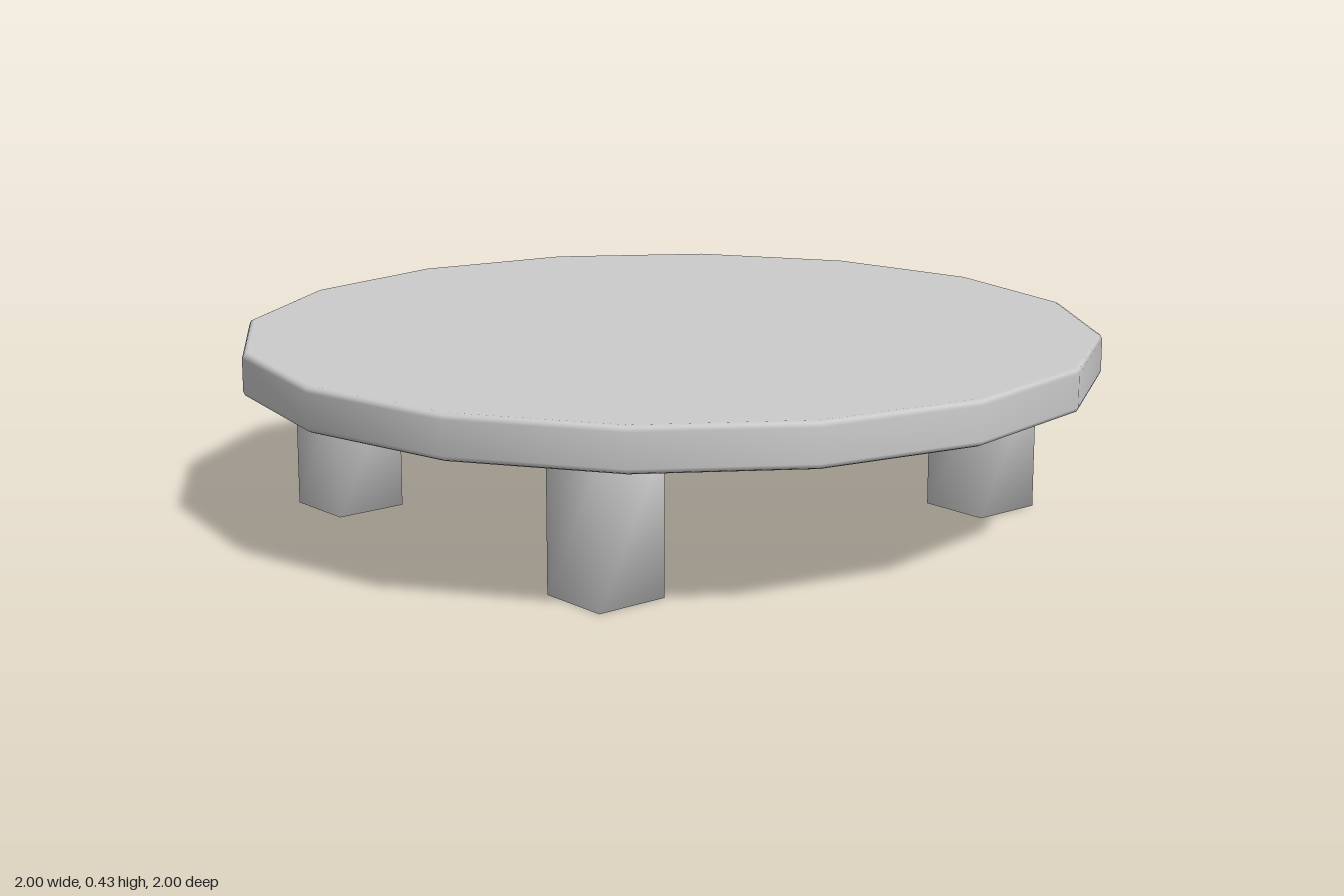
import * as THREE from 'three';
import { mergeVertices } from 'three/addons/utils/BufferGeometryUtils.js';

const material = new THREE.MeshStandardMaterial({ color: 0xcccccc });

// Weld corners so that normals run smoothly over the edges
function smooth(geometry) {
  geometry.deleteAttribute('uv');
  geometry.deleteAttribute('normal');
  const welded = mergeVertices(geometry, 1e-4);
  welded.computeVertexNormals();
  return welded;
}

export function createModel() {
  const group = new THREE.Group();
  const bottom = 0.327, top = 0.428, bevel = 0.013;

  // Sixteen-sided table top with a small bevel on both rims
  const profile = [
    [0, bottom], [1 - bevel, bottom], [0.996, bottom + 0.004], [1, bottom + bevel],
    [1, top - bevel], [0.996, top - 0.004], [1 - bevel, top], [0, top],
  ].map(([r, y]) => new THREE.Vector2(r, y));
  const tableTop = new THREE.Mesh(smooth(new THREE.LatheGeometry(profile, 16)), material);
  tableTop.name = 'tableTop';
  group.add(tableTop);

  // Four short square legs
  const width = 0.175;
  const legGeometry = smooth(new THREE.BoxGeometry(width, bottom + 0.003, width));
  for (const [end, z] of [['front', 0.583], ['back', -0.552]]) {
    for (const [side, x] of [['Left', 0.483], ['Right', -0.483]]) {
      const leg = new THREE.Mesh(legGeometry, material);
      leg.name = `${end}${side}Leg`;
      leg.position.set(x, (bottom + 0.003) / 2, z);
      group.add(leg);
    }
  }
  return group;
}
